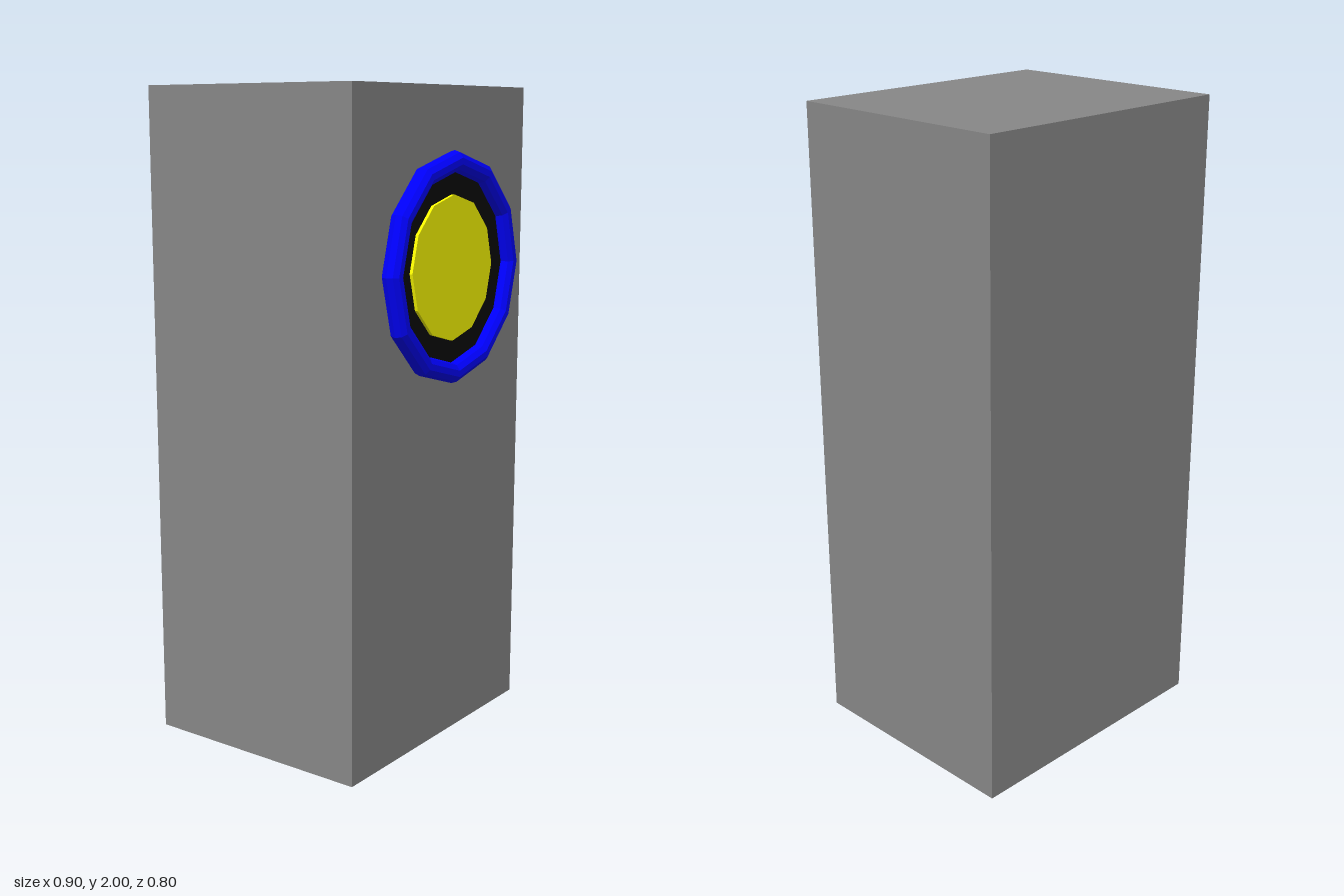
import * as THREE from 'three';

const SIDES = 12;

function part(name, geometry, color, x, y, z) {
  const material = new THREE.MeshStandardMaterial({ color, flatShading: true });
  const mesh = new THREE.Mesh(geometry, material);
  mesh.name = name;
  mesh.position.set(x, y, z);
  return mesh;
}

// Twelve-sided disc facing +z, with a corner on the x axis
function disc(radius, depth) {
  return new THREE.CylinderGeometry(radius, radius, depth, SIDES).rotateX(Math.PI / 2);
}

export function createModel() {
  const model = new THREE.Group();
  model.name = 'cabinet';

  // Plain upright box
  model.add(part('body', new THREE.BoxGeometry(0.904, 2, 0.742), 0x888888, 0, 1, -0.03));

  // Round lamp on the upper front: rim, dark backing and lens
  const lamp = new THREE.Group();
  lamp.name = 'lamp';
  lamp.add(
    part('rim', new THREE.TorusGeometry(0.312, 0.031, 10, SIDES), 0x0000ff, 0.009, 1.472, 0.37),
    part('backing', disc(0.3, 0.04), 0x0a0a0a, 0.007, 1.472, 0.345),
    part('lens', disc(0.215, 0.04), 0xffff00, 0.004, 1.473, 0.355)
  );
  model.add(lamp);
  return model;
}
